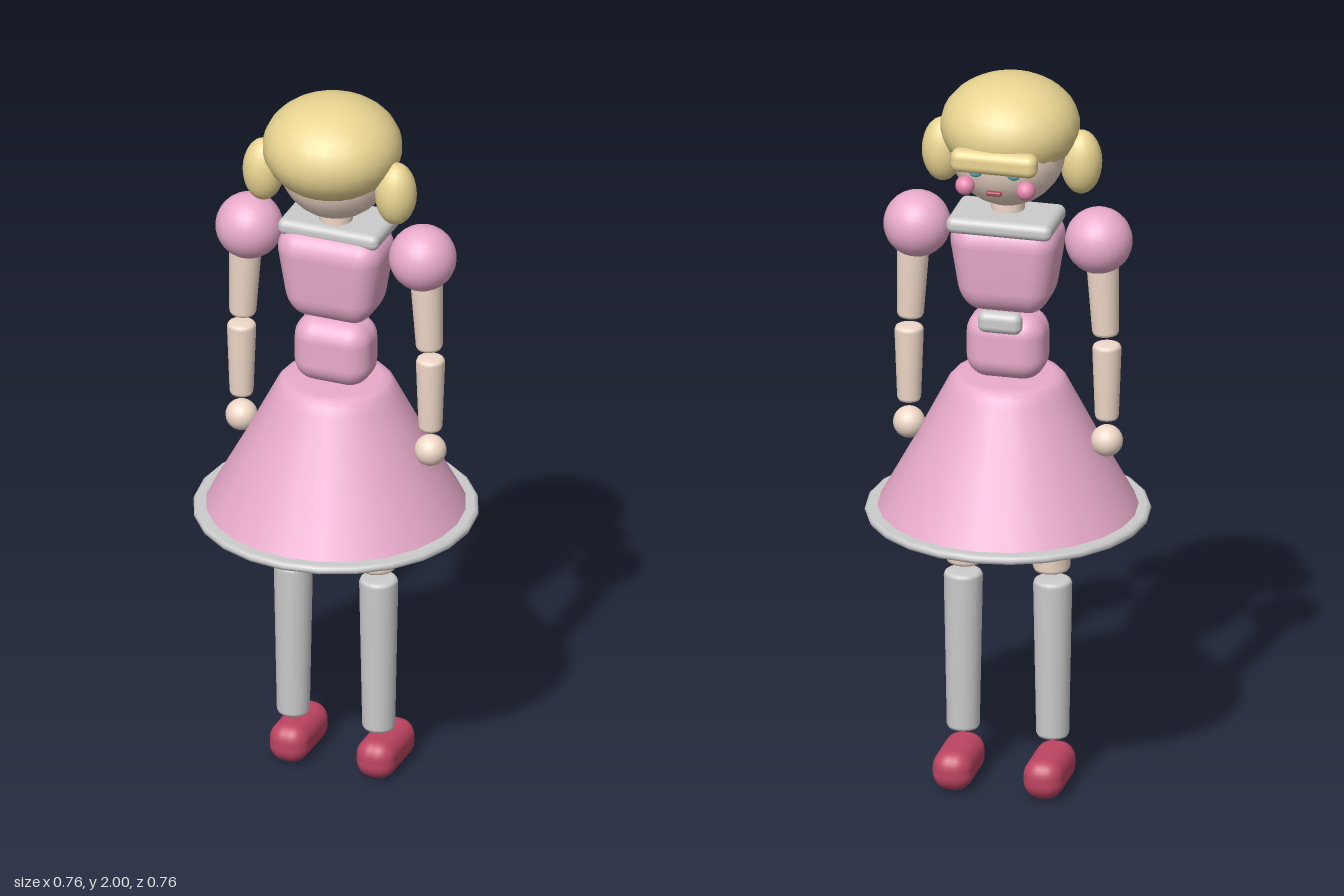
import * as THREE from 'three';
import { mergeVertices } from 'three/addons/utils/BufferGeometryUtils.js';
import { RoundedBoxGeometry } from 'three/addons/geometries/RoundedBoxGeometry.js';

const COLORS = {
  skin: 0xf0d8c8, hair: 0xead592, pink: 0xe9abcb, white: 0xf0f0f0,
  red: 0xbe4562, blue: 0x5fb4bc, blush: 0xe68aae, lip: 0xa84a58,
};

export function createModel() {
  const model = new THREE.Group();
  const mats = {};
  for (const key in COLORS) mats[key] = new THREE.MeshStandardMaterial({ color: COLORS[key] });

  const add = (name, geo, color, x, y, z, parent = model) => {
    const mesh = new THREE.Mesh(geo, mats[color]);
    mesh.name = name;
    mesh.position.set(x, y, z);
    parent.add(mesh);
    return mesh;
  };

  const ellipsoid = (rx, ry, rz, seg = 24) =>
    new THREE.SphereGeometry(1, seg, Math.round(seg * 0.7)).scale(rx, ry, rz);

  const box = (w, h, d, r) => new RoundedBoxGeometry(w, h, d, 4, r);

  // Tapered limb with softened ends, centred on its own height
  const limb = (rTop, rBottom, h, bevel = 0.012) => {
    const t = h / 2;
    const points = [
      [0, -t], [rBottom - bevel, -t], [rBottom - bevel * 0.3, -t + bevel * 0.3], [rBottom, -t + bevel],
      [rTop, t - bevel], [rTop - bevel * 0.3, t - bevel * 0.3], [rTop - bevel, t], [0, t],
    ].map(([x, y]) => new THREE.Vector2(x, y));
    return new THREE.LatheGeometry(points, 20);
  };

  // Rounded box that narrows towards its base
  const taperedBox = (w, h, d, r, sx, sz) => {
    let geo = box(w, h, d, r);
    const p = geo.attributes.position;
    for (let i = 0; i < p.count; i++) {
      const t = 0.5 - p.getY(i) / h;
      p.setX(i, p.getX(i) * (1 - (1 - sx) * t));
      p.setZ(i, p.getZ(i) * (1 - (1 - sz) * t));
    }
    geo.deleteAttribute('normal');
    geo.deleteAttribute('uv');
    geo = mergeVertices(geo, 1e-5);
    geo.computeVertexNormals();
    return geo;
  };

  // Head, hair and face (the face looks towards -z)
  const head = new THREE.Group();
  head.name = 'head';
  model.add(head);
  add('face', ellipsoid(0.157, 0.16, 0.153), 'skin', 0, 1.812, 0, head);
  add('hairCap', ellipsoid(0.186, 0.136, 0.186), 'hair', 0, 1.864, 0.025, head);
  add('fringe', box(0.236, 0.064, 0.055, 0.024), 'hair', 0, 1.822, -0.149, head);
  add('mouth', box(0.042, 0.012, 0.016, 0.005), 'lip', 0, 1.735, -0.152, head);
  add('neck', limb(0.045, 0.045, 0.12), 'skin', 0, 1.63, 0);

  // Bodice, collar, waist and bow
  add('torso', taperedBox(0.315, 0.26, 0.21, 0.07, 0.74, 0.8), 'pink', 0, 1.483, 0);
  add('collar', box(0.288, 0.046, 0.185, 0.02), 'white', 0, 1.612, -0.023);
  add('waist', box(0.214, 0.186, 0.152, 0.06), 'pink', 0, 1.253, 0);
  add('bow', box(0.12, 0.06, 0.045, 0.021), 'white', 0, 1.34, -0.085);

  // Flared skirt with a flat hem disc
  const skirtProfile = [
    [0.35, 0.78], [0.255, 0.955], [0.17, 1.12], [0.157, 1.145], [0.143, 1.16], [0.122, 1.165], [0, 1.165],
  ].map(([x, y]) => new THREE.Vector2(x, y));
  add('skirt', new THREE.LatheGeometry(skirtProfile, 24), 'pink', 0, 0, 0);
  const hemProfile = [
    [0, 0.762], [0.368, 0.762], [0.377, 0.766], [0.38, 0.774], [0.377, 0.782], [0.368, 0.787], [0, 0.787],
  ].map(([x, y]) => new THREE.Vector2(x, y));
  add('hem', new THREE.LatheGeometry(hemProfile, 24), 'white', 0, 0, 0);

  // Mirrored parts
  for (const [side, s] of [['left', 1], ['right', -1]]) {
    add(side + 'Eye', ellipsoid(0.018, 0.015, 0.012, 16), 'blue', s * 0.052, 1.79, -0.146, head);
    add(side + 'Cheek', ellipsoid(0.026, 0.026, 0.026, 16), 'blush', s * 0.083, 1.745, -0.138, head);
    add(side + 'Pigtail', ellipsoid(0.056, 0.089, 0.056, 20), 'hair', s * 0.189, 1.768, 0.044, head);

    const arm = new THREE.Group();
    arm.name = side + 'Arm';
    model.add(arm);
    add('puffSleeve', ellipsoid(0.09, 0.09, 0.09), 'pink', s * 0.248, 1.566, 0, arm);
    add('upperArm', limb(0.045, 0.036, 0.25), 'skin', s * 0.262, 1.422, 0, arm).rotation.z = s * 0.04;
    add('forearm', limb(0.039, 0.032, 0.216), 'skin', s * 0.27, 1.164, 0, arm);
    add('hand', ellipsoid(0.043, 0.043, 0.043, 20), 'skin', s * 0.27, 0.995, 0, arm);

    const leg = new THREE.Group();
    leg.name = side + 'Leg';
    model.add(leg);
    add('thigh', limb(0.061, 0.05, 0.24), 'skin', s * 0.116, 0.73, 0, leg).rotation.z = s * 0.03;
    add('stocking', limb(0.052, 0.044, 0.45), 'white', s * 0.122, 0.36, 0, leg);
    add('shoe', box(0.108, 0.11, 0.215, 0.046), 'red', s * 0.124, 0.055, -0.043, leg);
  }
  return model;
}
